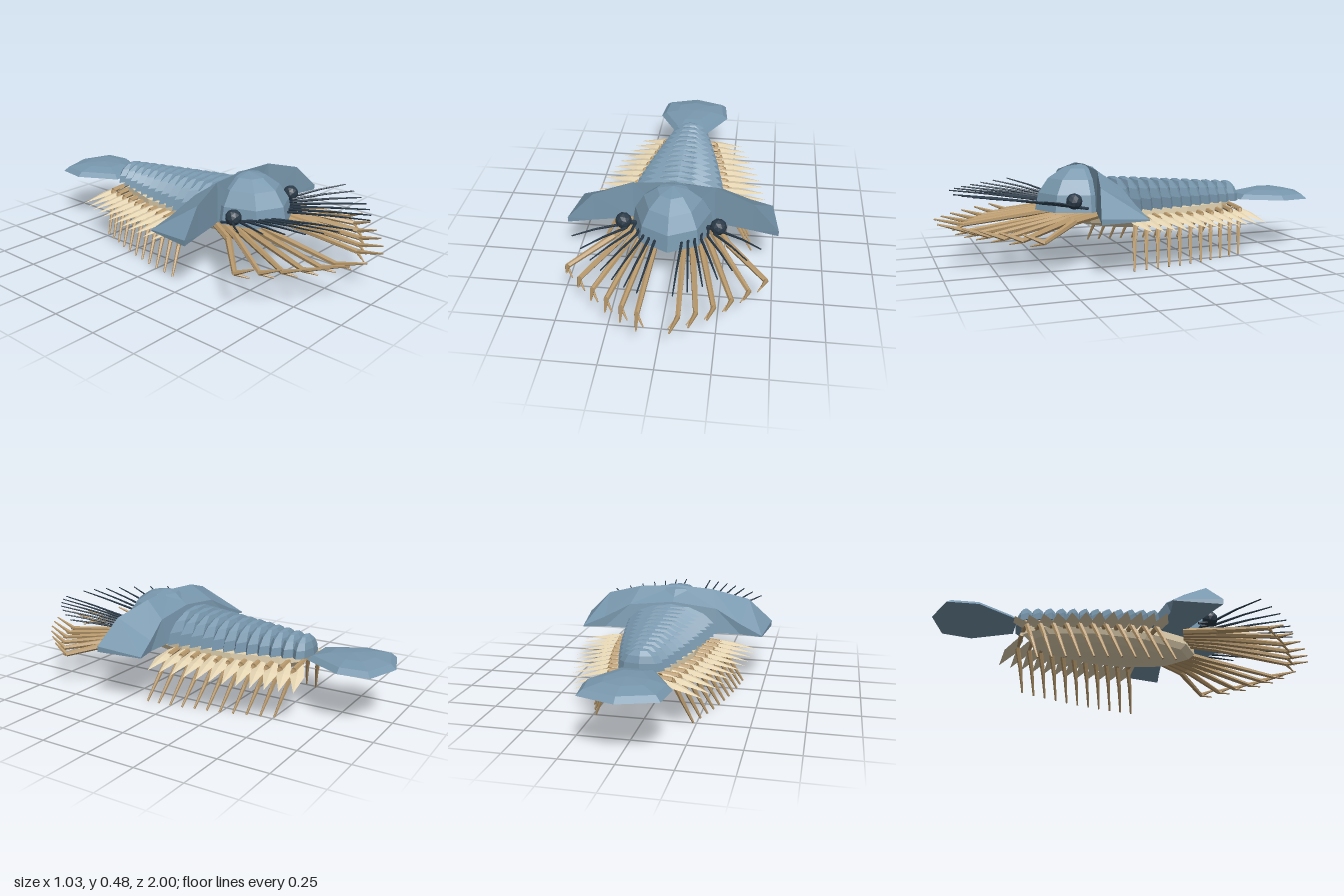
import * as THREE from 'three';

const mat = (name, color) => Object.assign(new THREE.MeshStandardMaterial({ color }), { name });
const V = (x, y, z) => new THREE.Vector3(x, y, z);

// Split every face so it gets its own flat normal.
function facet(geometry) {
  const g = geometry.index ? geometry.toNonIndexed() : geometry;
  g.computeVertexNormals();
  return g;
}

// Ground outline of an ellipse, with an optional shorter rear half.
function ellipse(sides, rx, rz, rearScale = 1) {
  return Array.from({ length: sides }, (_, i) => {
    const a = (i / sides) * Math.PI * 2;
    const z = Math.cos(a) * rz;
    return [Math.sin(a) * rx, z < 0 ? z * rearScale : z];
  });
}

// Closed dome rising over an outline of [x, z] corners.
function dome(outline, rows, height) {
  const profile = [new THREE.Vector2(0, 0)];
  for (let i = 0; i <= rows; i++) {
    const a = (i / rows) * Math.PI / 2;
    profile.push(new THREE.Vector2(i === rows ? 0 : Math.cos(a), Math.sin(a)));
  }
  const g = new THREE.LatheGeometry(profile, outline.length);
  const p = g.attributes.position;
  for (let i = 0; i < p.count; i++) {
    const [x, z] = outline[Math.floor(i / profile.length) % outline.length];
    const { x: r, y } = profile[i % profile.length];
    p.setXYZ(i, x * r, y * height, z * r);
  }
  return facet(g);
}

// Arched shield across the head: front foot, ridge, back edge and back foot lofted along x.
function shieldGeometry() {
  // ridge x, y, z, then back edge x, y, z
  const half = [
    [0.515, 0.288, 0.33, 0.485, 0.266, 0.088],
    [0.39, 0.41, 0.295, 0.37, 0.315, 0.113],
    [0.2, 0.465, 0.25, 0.235, 0.385, 0.14],
  ];
  const columns = [
    ...half.map(([a, b, c, d, e, f]) => [-a, b, c, -d, e, f]),
    [0, 0.478, 0.255, 0, 0.41, 0.145],
    ...half.slice().reverse(),
  ];
  const pos = [], index = [];
  for (const [xr, yr, zr, xb, yb, zb] of columns) {
    const foot = Math.max(0.255, 0.2 + 0.25 * Math.abs(xr));
    pos.push(xr, 0.26, foot, xr, yr, zr, xb, yb, zb, xb, 0.26, Math.min(zb, 0.115));
  }
  const last = columns.length - 1;
  for (let i = 0; i < last; i++) {
    for (let k = 0; k < 4; k++) {
      const n = (k + 1) % 4;
      const a = i * 4 + k, b = a + 4, c = i * 4 + 4 + n, d = i * 4 + n;
      if (i < 3) index.push(a, b, d, b, c, d);
      else index.push(a, b, c, a, c, d);
    }
  }
  const e = last * 4;
  index.push(0, 1, 2, 0, 2, 3, e, e + 3, e + 2, e, e + 2, e + 1);
  const g = new THREE.BufferGeometry();
  g.setAttribute('position', new THREE.Float32BufferAttribute(pos, 3));
  g.setIndex(index);
  return facet(g);
}

export function createModel() {
  const root = new THREE.Group();
  root.name = 'seaArthropod';
  const shell = mat('shellBlue', 0x7897ad);
  const dark = mat('darkNavy', 0x2a3a48);
  const tan = mat('limbTan', 0xb8996c);
  const cream = mat('gillCream', 0xe6d6b4);

  const add = (parent, name, geometry, material, x = 0, y = 0, z = 0) => {
    const m = new THREE.Mesh(geometry, material);
    m.name = name;
    m.position.set(x, y, z);
    parent.add(m);
    return m;
  };

  // Jointed limb: tapered rods through a list of points.
  const limb = (name, points, radii, material) => {
    const group = new THREE.Group();
    group.name = name;
    for (let i = 0; i < points.length - 1; i++) {
      const dir = points[i + 1].clone().sub(points[i]);
      const g = new THREE.CylinderGeometry(radii[i + 1], radii[i], dir.length() + 0.004, 6);
      const m = add(group, name + 'Section', facet(g), material);
      m.position.copy(points[i]).addScaledVector(dir, 0.5);
      m.quaternion.setFromUnitVectors(V(0, 1, 0), dir.normalize());
    }
    root.add(group);
  };

  // Flat kite-shaped blade from a to b.
  const blade = (a, b, width) => {
    const profile = [[0, 0], [0.55, 0.12], [1, 0.5], [0, 1]].map(([x, y]) => new THREE.Vector2(x, y));
    const dir = b.clone().sub(a);
    const g = new THREE.LatheGeometry(profile, 4);
    g.scale(width, dir.length(), 0.009);
    const m = add(root, 'gillBlade', facet(g), cream);
    dir.normalize();
    const side = dir.clone().cross(V(0, 1, 0)).normalize();
    m.quaternion.setFromRotationMatrix(
      new THREE.Matrix4().makeBasis(side, dir, side.clone().cross(dir)));
    m.position.copy(a);
  };

  // Head and shield
  add(root, 'head', dome(ellipse(8, 0.2, 0.235, 0.72), 4, 0.22), shell, 0, 0.26, 0.28);
  add(root, 'headShield', shieldGeometry(), shell);

  // Seven-sided tail fan, narrow where it joins the body
  const fan = [[0, -0.21], [-0.18, -0.15], [-0.198, 0], [-0.085, 0.2],
    [0.085, 0.2], [0.198, 0], [0.18, -0.15]];
  add(root, 'tailFan', dome(fan, 3, 0.048), shell, 0, 0.262, -0.79);

  // Belly keel under a shallow upright rim
  const rim = new THREE.CylinderGeometry(1, 1, 0.037, 10);
  rim.scale(0.198, 1, 0.46);
  add(root, 'bellyRim', facet(rim), cream, 0, 0.241, -0.09);
  add(root, 'belly', dome(ellipse(10, 0.198, 0.46), 4, 0.085), cream, 0, 0.225, -0.09).rotation.z = Math.PI;

  // Overlapping back plates, shrinking toward the tail, with gill blades beside them
  const count = 12;
  for (let i = 0; i < count; i++) {
    const t = i / (count - 1);
    const w = 0.25 - 0.095 * t - 0.045 * t * t;
    const z = 0.095 - 0.058 * i;
    add(root, 'backPlate', dome(ellipse(8, w, 0.046), 4, 0.15 - 0.05 * t), shell, 0, 0.26, z);
    for (const s of [-1, 1]) {
      const tip = 0.465 - 0.04 * t - 0.125 * t * t;
      blade(V(s * (w - 0.06), 0.235, z), V(s * tip, 0.2 - 0.03 * t, z - 0.03 - 0.055 * t), 0.034);
    }
  }

  for (const s of [-1, 1]) {
    // Walking legs
    for (let i = 0; i < 11; i++) {
      const k = i / 10;
      const z = 0.09 - 0.063 * i;
      const foot = 0.388 - 0.06 * k - 0.093 * k * k;
      const knee = 0.265 - 0.06 * k - 0.06 * k * k;
      limb('walkingLeg', [
        V(s * (knee - 0.12), 0.235, z - 0.01),
        V(s * knee, 0.222, z - 0.015),
        V(s * (knee + (foot - knee) * 0.4), 0.13, z + 0.01),
        V(s * foot, 0.003, z + 0.037),
      ], [0.012, 0.014, 0.011, 0.005], tan);
    }

    // Eyes on short stalks
    add(root, 'eye', facet(new THREE.IcosahedronGeometry(0.04, 1)), dark, s * 0.228, 0.327, 0.375);
    limb('eyeStalk', [V(s * 0.15, 0.28, 0.33), V(s * 0.228, 0.32, 0.37)], [0.014, 0.012], dark);

    // Fan of jointed front arms
    for (let i = 0; i < 6; i++) {
      const t = i / 5;
      const ex = 0.09 + 0.375 * t, ez = 0.86 - 0.13 * t - 0.15 * t * t;
      const bx = 0.05 + 0.15 * t;
      const mid = 0.07 + 0.21 * t;
      limb('frontArm', [
        V(s * bx, 0.25, 0.3 - 0.06 * t),
        V(s * mid, 0.238, 0.45 - 0.06 * t),
        V(s * ex, 0.19, ez),
        V(s * (ex - 0.02), 0.228, ez + 0.14 - 0.05 * t),
      ], [0.017, 0.017, 0.012, 0.004], tan);
      limb('armSpur', [
        V(s * ex, 0.187, ez), V(s * (ex - 0.035), 0.17, ez + 0.055),
      ], [0.009, 0.003], tan);
    }

    // Fan of thin feelers rising from the rim of the head
    for (let i = 0; i < 7; i++) {
      const t = i / 6;
      const fx = 0.075 + 0.355 * t, fz = 0.92 - 0.15 * t - 0.2 * t * t;
      const ox = 0.062 + 0.175 * t, oz = 0.5 - 0.14 * t;
      limb('feeler', [
        V(s * ox, 0.29, oz - 0.05),
        V(s * (ox + 0.003), 0.305, oz + 0.02),
        V(s * (ox * 0.45 + fx * 0.55), 0.34, oz * 0.45 + fz * 0.55),
        V(s * fx, 0.366, fz),
      ], [0.007, 0.007, 0.005, 0.003], dark);
    }
  }
  return root;
}
